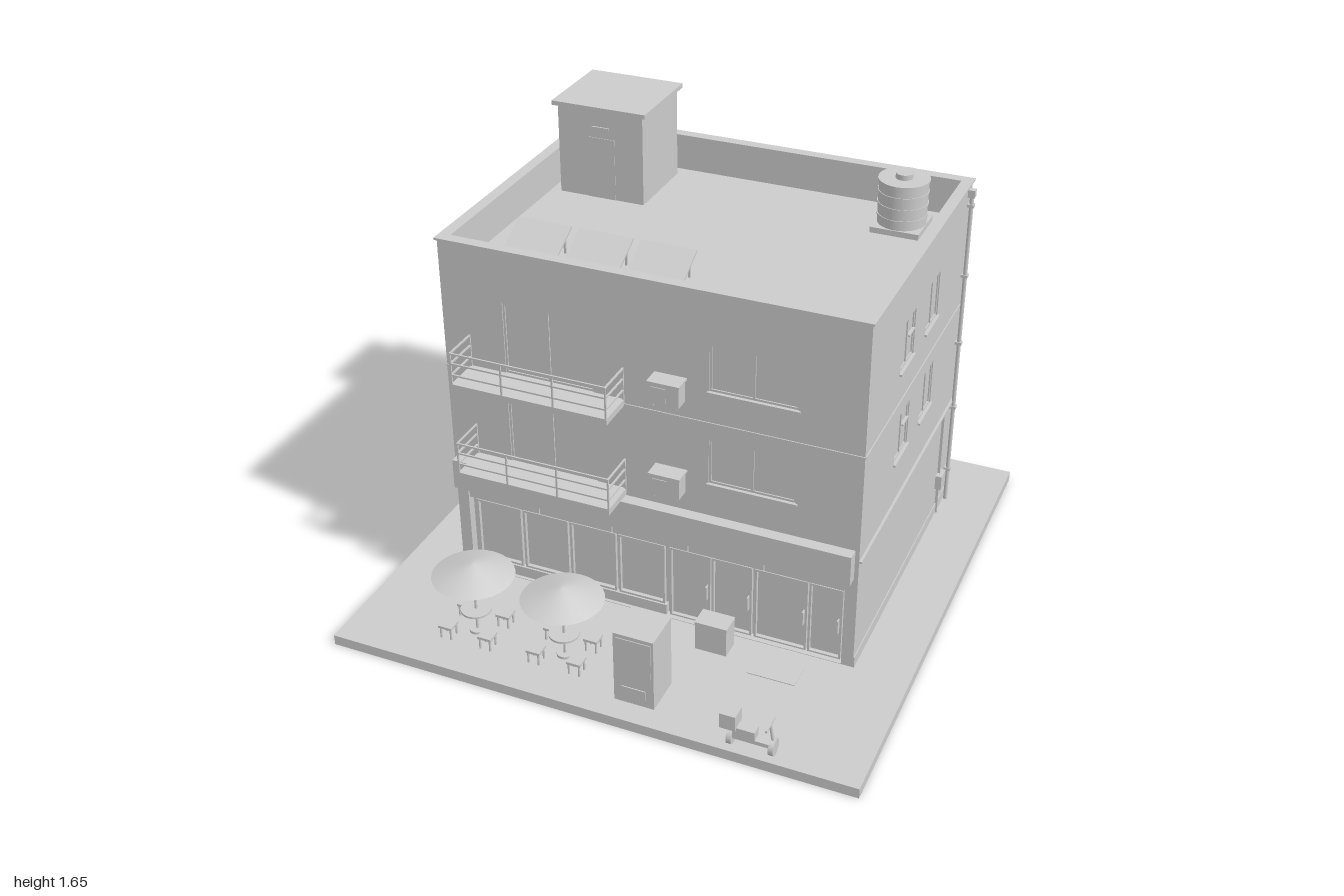
import * as THREE from 'three';

const grey = new THREE.MeshStandardMaterial({ color: 0xcccccc });
grey.name = 'plainGrey';

// Helpers: every box is given by its min and max corners
function add(parent, geo, name, x = 0, y = 0, z = 0) {
  const m = new THREE.Mesh(geo, grey);
  m.name = name;
  m.position.set(x, y, z);
  parent.add(m);
  return m;
}
const box = (p, name, x0, x1, y0, y1, z0, z1) =>
  add(p, new THREE.BoxGeometry(x1 - x0, y1 - y0, z1 - z0), name, (x0 + x1) / 2, (y0 + y1) / 2, (z0 + z1) / 2);
const cyl = (p, name, r, y0, y1, x, z, n = 16) =>
  add(p, new THREE.CylinderGeometry(r, r, y1 - y0, n), name, x, (y0 + y1) / 2, z);
function group(parent, name, x = 0, y = 0, z = 0, ry = 0) {
  const g = new THREE.Group();
  g.name = name;
  g.position.set(x, y, z);
  g.rotation.y = ry;
  parent.add(g);
  return g;
}
function rectShape(S, x0, x1, y0, y1) {
  const s = new S();
  s.moveTo(x0, y0); s.lineTo(x1, y0); s.lineTo(x1, y1); s.lineTo(x0, y1); s.closePath();
  return s;
}

const HX = 0.75, ZF = 0.4, ZB = -0.725, T = 0.035, GROUND = 0.04, TOP = 1.43, ROOF = 1.288;
const COURSE = [0.92, 0.928];

// A wall in local coordinates: x along the wall, outside face at z = T
function pierced(g, u0, u1, holes) {
  const s = rectShape(THREE.Shape, u0, u1, GROUND, TOP - 0.008);
  holes.forEach(h => s.holes.push(rectShape(THREE.Path, ...h)));
  add(g, new THREE.ExtrudeGeometry(s, { depth: T, bevelEnabled: false }), 'wall');
}
// Four-sided frame standing on the plane z = d
function frame(g, [x0, x1, y0, y1], d, thick) {
  const t = 0.008;
  box(g, 'frameLeft', x0, x0 + t, y0, y1, d, d + thick);
  box(g, 'frameRight', x1 - t, x1, y0, y1, d, d + thick);
  box(g, 'frameTop', x0 + t, x1 - t, y1 - t, y1, d, d + thick);
  box(g, 'frameBottom', x0 + t, x1 - t, y0, y0 + t, d, d + thick);
}
// Shallow window: pane just behind the wall face, frame, mullions, bars and sill
function windowUnit(g, rect, mullions, bars = 0, sill = true) {
  const w = group(g, 'window'), d = T - 0.009, [x0, x1, y0, y1] = rect;
  box(w, 'pane', x0, x1, y0, y1, 0, d);
  frame(w, rect, d, 0.005);
  for (let i = 1; i <= mullions; i++) {
    const x = x0 + (x1 - x0) * i / (mullions + 1);
    box(w, 'mullion', x - 0.004, x + 0.004, y0, y1, d, d + 0.005);
  }
  for (let i = 1; i <= bars; i++) {
    const x = x0 + (x1 - x0) * i / (bars + 1);
    box(w, 'bar', x - 0.002, x + 0.002, y0, y1, T - 0.003, T + 0.001);
  }
  if (sill) box(w, 'sill', x0 - 0.006, x1 + 0.006, y0 - 0.008, y0, 0, T + 0.009);
}

function buildFront(root) {
  const g = group(root, 'frontWall', 0, 0, ZF);
  const shop = [-0.74, 0.74, GROUND + 0.002, 0.42];
  const wins = [0.68, 1.05].map(y => [0.23, 0.55, y, y + 0.18]);
  const doors = [0.575, 0.945].map(y => [-0.545, -0.2, y, y + 0.28]);
  pierced(g, -HX - T, HX + T, [shop, ...wins, ...doors]);
  wins.forEach(w => windowUnit(g, w, 1));
  doors.forEach(d => windowUnit(g, d, 1, 0, false));
  box(g, 'floorCourse', -HX - T, HX + T, ...COURSE, T, T + 0.004);
  // Shop front: plinth, panes, doors, fascia and sign board
  box(g, 'shopPlinth', -0.74, 0.06, GROUND, 0.085, 0, 0.022);
  for (let i = 0; i < 4; i++) frame(g, [-0.72 + i * 0.195, -0.535 + i * 0.195, 0.085, 0.345], 0, 0.015);
  for (const [a, b] of [[0.07, 0.23], [0.235, 0.39], [0.4, 0.6], [0.605, 0.73]]) {
    frame(g, [a, b, GROUND, 0.345], 0, 0.015);
    box(g, 'doorHandle', b - 0.018, b - 0.013, 0.15, 0.21, 0, 0.02);
  }
  const edges = [-0.74, -0.445, -0.15, 0.15, 0.44, 0.74];
  for (let i = 0; i < 5; i++) box(g, 'fascia', edges[i] + 0.002, edges[i + 1] - 0.002, 0.36, 0.405, 0, 0.03);
  box(g, 'signBoard', -0.77, 0.77, 0.425, 0.545, 0, 0.08);
  // Balconies and cooling units on both upper floors
  for (const y of [0.55, 0.92]) {
    const b = group(g, 'balcony', 0, y, T);
    box(b, 'slab', -0.685, -0.085, 0, 0.025, 0, 0.145);
    for (const h of [0.065, 0.11, 0.15]) {
      box(b, 'frontRail', -0.685, -0.085, h - 0.006, h, 0.139, 0.145);
      for (const x of [-0.685, -0.091]) box(b, 'sideRail', x, x + 0.006, h - 0.006, h, 0, 0.145);
    }
    for (const x of [-0.682, -0.486, -0.288, -0.088]) box(b, 'post', x - 0.003, x + 0.003, 0.02, 0.15, 0.139, 0.145);
    for (const x of [-0.682, -0.088]) box(b, 'wallPost', x - 0.003, x + 0.003, 0.02, 0.15, 0, 0.006);
    const a = group(g, 'coolingUnit', 0.09, y + 0.075, T);
    box(a, 'case', -0.056, 0.056, 0, 0.08, 0.008, 0.065);
    box(a, 'lid', -0.06, 0.06, 0.08, 0.088, 0, 0.07);
    box(a, 'grille', -0.045, 0.01, 0.012, 0.068, 0.065, 0.068);
    for (const x of [-0.045, 0.04]) box(a, 'bracket', x, x + 0.006, -0.01, 0, 0, 0.06);
  }
}

function buildSide(root, s) {
  const g = group(root, s > 0 ? 'leftWall' : 'rightWall', s * HX, 0, 0, s * Math.PI / 2);
  // along(z0, z1) turns a depth range into the wall's own range
  const along = (a, b) => s > 0 ? [-b, -a] : [a, b];
  const holes = [];
  for (const y of [0.68, 1.05]) for (const z of [-0.08, -0.38]) holes.push([...along(z, z + 0.155), y, y + 0.18]);
  const door = [...along(-0.445, -0.325), 0.062, 0.32];
  pierced(g, ...along(ZB, ZF), s > 0 ? holes : [...holes, door]);
  holes.forEach(h => windowUnit(g, h, 1));
  // Half-height sash rail in the front window of each floor
  for (const y of [0.79, 1.15]) box(g, 'sashRail', ...along(-0.075, -0.01), y, y + 0.006, T - 0.009, T + 0.002);
  const [a, b] = along(ZB - T, ZF + T);
  box(g, 'floorCourse', a, b, ...COURSE, T, T + 0.004);
  box(g, 'lowerCourse', a, b, 0.496, 0.504, T, T + 0.01);
  box(g, 'plinth', a, b, GROUND, 0.085, T, T + 0.004);
  // Drain pipe with hopper and clips
  const u = along(-0.71, -0.71)[0];
  cyl(g, 'drainPipe', 0.008, GROUND, 1.39, u, T + 0.014, 10);
  box(g, 'hopper', u - 0.012, u + 0.012, 1.38, 1.41, T, T + 0.026);
  for (let y = 0.18; y < 1.35; y += 0.29) box(g, 'pipeClip', u - 0.011, u + 0.011, y, y + 0.012, T, T + 0.025);
  if (s > 0) {
    const m = along(-0.6, -0.6)[0];
    box(g, 'conduit', m - 0.004, m + 0.004, GROUND, 0.5, T, T + 0.01);
    box(g, 'meterBox', m - 0.03, m + 0.03, 0.17, 0.23, T, T + 0.025);
  } else {
    windowUnit(g, door, 0, 0, false);
    box(g, 'canopy', ...along(-0.49, -0.28), 0.36, 0.374, T, 0.165);
    box(g, 'doorStep', ...along(-0.47, -0.3), GROUND, 0.062, T, 0.1);
  }
}

function buildBack(root) {
  const g = group(root, 'backWall', 0, 0, ZB, Math.PI);
  const holes = [];
  for (const y of [0.165, 0.7, 1.07]) for (const x of [-0.21, 0.22]) holes.push([x - 0.07, x + 0.07, y, y + 0.15]);
  pierced(g, -HX - T, HX + T, holes);
  holes.forEach(h => windowUnit(g, h, 1, 5));
  box(g, 'plinth', -HX - T, HX + T, GROUND, 0.085, T, T + 0.004);
}

function buildRoof(root) {
  const r = group(root, 'roof');
  const cap = rectShape(THREE.Shape, -0.793, 0.793, -0.443, 0.768);
  cap.holes.push(rectShape(THREE.Path, -HX, HX, -ZF, -ZB));
  add(r, new THREE.ExtrudeGeometry(cap, { depth: 0.008, bevelEnabled: false }), 'parapetCap', 0, TOP - 0.008, 0)
    .rotation.x = -Math.PI / 2;
  // Stair tower
  box(r, 'stairTower', -0.71, -0.365, ROOF, 1.638, -0.675, -0.355);
  box(r, 'towerSlab', -0.73, -0.35, 1.638, 1.655, -0.695, -0.343);
  box(r, 'towerDoor', -0.59, -0.48, ROOF, 1.53, -0.355, -0.353);
  box(r, 'towerLamp', -0.57, -0.5, 1.565, 1.575, -0.355, -0.349);
  // Water tank
  box(r, 'tankStand', 0.488, 0.672, ROOF, 1.31, -0.65, -0.465);
  cyl(r, 'tank', 0.091, 1.31, 1.475, 0.58, -0.56, 32);
  for (const y of [1.34, 1.385, 1.43]) cyl(r, 'tankBand', 0.094, y, y + 0.008, 0.58, -0.56, 32);
  cyl(r, 'tankLid', 0.095, 1.474, 1.482, 0.58, -0.56, 32);
  cyl(r, 'tankCap', 0.032, 1.482, 1.502, 0.58, -0.56, 20);
  // Tilted panels on legs
  for (let i = 0; i < 3; i++) {
    const p = group(r, 'solarPanel', -0.535 + i * 0.24, 1.35, 0.185);
    box(p, 'plate', -0.105, 0.105, -0.004, 0.004, -0.086, 0.086).rotation.x = 0.5;
    for (const x of [-0.08, 0.08]) {
      box(p, 'rearLeg', x - 0.004, x + 0.004, ROOF - 1.35, 0.033, -0.07, -0.062);
      box(p, 'frontLeg', x - 0.004, x + 0.004, ROOF - 1.35, -0.035, 0.06, 0.068);
    }
  }
}

function buildStreet(root) {
  // Parasol tables with four stools each
  const canopy = [[0.15, 0.25], [0.1, 0.269], [0.05, 0.287], [0.015, 0.298], [0, 0.3]].map(p => new THREE.Vector2(...p));
  for (const x of [-0.54, -0.185]) {
    const t = group(root, 'parasolTable', x, GROUND, 0.767);
    add(t, new THREE.LatheGeometry(canopy, 32), 'parasol');
    add(t, new THREE.CircleGeometry(0.15, 32), 'parasolUnderside', 0, 0.25, 0).rotation.x = Math.PI / 2;
    cyl(t, 'pole', 0.005, 0, 0.26, 0, 0, 8);
    cyl(t, 'tableTop', 0.056, 0.092, 0.1, 0, 0, 24);
    cyl(t, 'foot', 0.03, 0, 0.01, 0, 0, 16);
    for (const sx of [-1, 1]) for (const sz of [-1, 1]) {
      const s = group(t, 'stool', sx * 0.08, 0, sz * 0.068);
      box(s, 'seat', -0.027, 0.027, 0.045, 0.055, -0.027, 0.027);
      for (const lx of [-1, 1]) for (const lz of [-1, 1])
        cyl(s, 'stoolLeg', 0.004, 0, 0.046, lx * 0.02, lz * 0.02, 6);
    }
  }
  // Vending machine
  const v = group(root, 'vendingMachine', 0.153, GROUND, 0.84);
  box(v, 'cabinet', -0.075, 0.075, 0, 0.29, -0.078, 0.072);
  box(v, 'displayPanel', -0.065, 0.065, 0.13, 0.275, 0.072, 0.075);
  box(v, 'hatch', -0.045, 0.045, 0.03, 0.07, 0.072, 0.076);
  // Chest freezer and door mat
  const f = group(root, 'chestFreezer', 0.29, GROUND, 0.518);
  box(f, 'chest', -0.06, 0.06, 0, 0.105, -0.04, 0.038);
  box(f, 'chestLid', -0.062, 0.062, 0.105, 0.12, -0.042, 0.04);
  box(root, 'doorMat', 0.45, 0.63, GROUND, 0.043, 0.5, 0.61);
  // Delivery scooter
  const s = group(root, 'scooter', 0.6, GROUND, 0.955);
  for (const x of [-0.07, 0.08]) {
    add(s, new THREE.CylinderGeometry(0.031, 0.031, 0.018, 20), 'wheel', x, 0.032, 0).rotation.z = Math.PI / 2;
  }
  box(s, 'footBoard', -0.06, 0.075, 0.035, 0.05, -0.018, 0.018);
  box(s, 'body', -0.06, 0.02, 0.05, 0.075, -0.018, 0.018);
  box(s, 'saddle', -0.05, 0.02, 0.075, 0.085, -0.02, 0.02);
  box(s, 'cargoBox', -0.103, -0.045, 0.078, 0.138, -0.03, 0.03);
  cyl(s, 'steeringColumn', 0.006, 0.04, 0.125, 0.075, 0, 8).rotation.z = 0.15;
  box(s, 'handlebar', 0.063, 0.071, 0.12, 0.128, -0.04, 0.04);
}

export function createModel() {
  const root = new THREE.Group();
  root.name = 'cornerShopBuilding';
  box(root, 'pavement', -1, 1, 0, GROUND, -1, 1);
  const site = group(root, 'site', 0.004);
  // Inner core: closes the shop opening, its top is the roof deck
  box(site, 'core', -HX, HX, GROUND, ROOF, ZB, ZF);
  buildFront(site);
  buildSide(site, 1);
  buildSide(site, -1);
  buildBack(site);
  buildRoof(site);
  buildStreet(site);
  return root;
}
